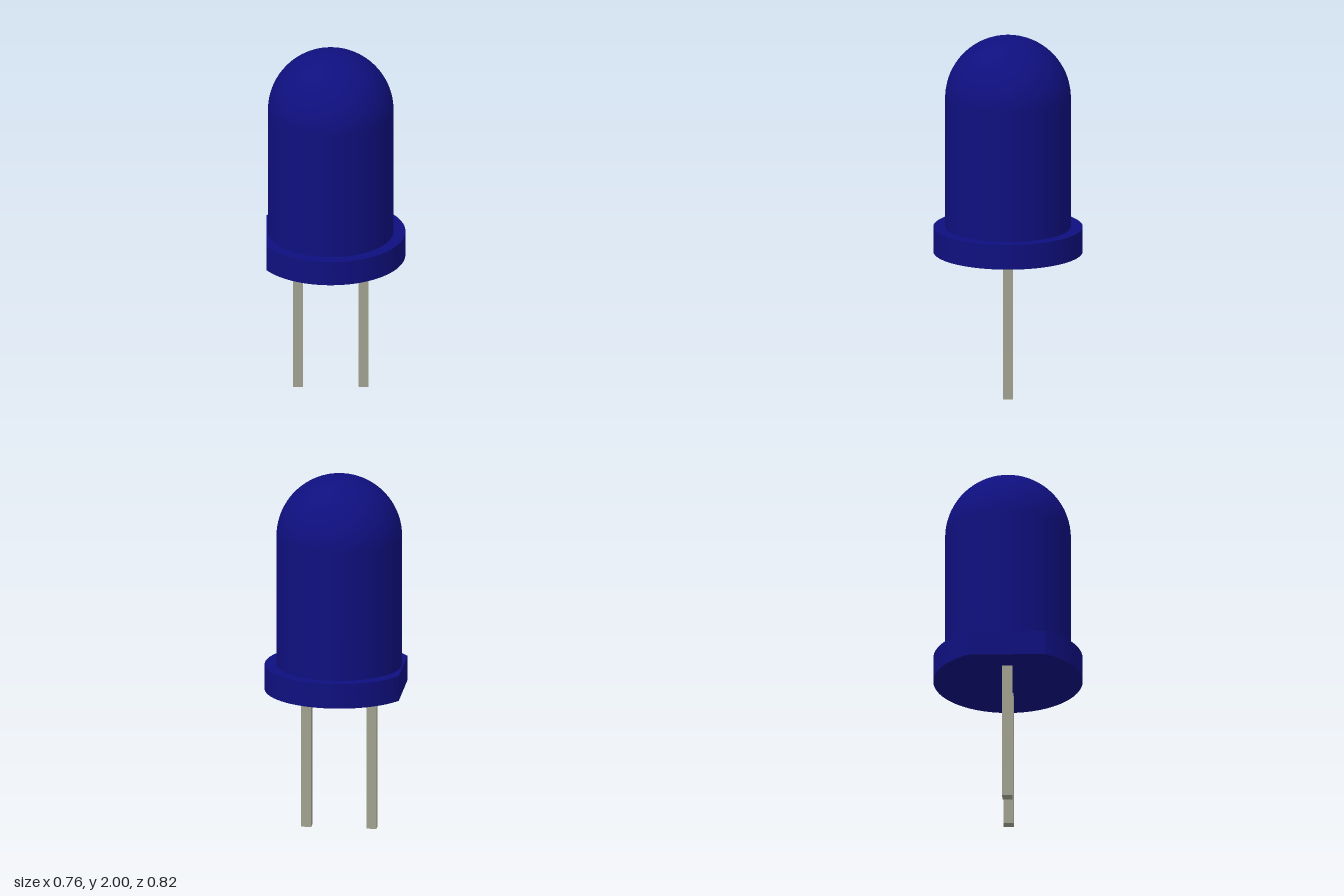
import * as THREE from 'three';
import { toCreasedNormals } from 'three/addons/utils/BufferGeometryUtils.js';

const AXIS_X = -0.03;
const BODY_R = 0.345, RIM_R = 0.41, FLAT_X = -0.352;
const RIM_BOTTOM = 0.785, RIM_TOP = 0.925, TOP = 2;

function material(name, color) {
  const m = new THREE.MeshStandardMaterial({ color });
  m.name = name;
  return m;
}

export function createModel() {
  const model = new THREE.Group();
  model.name = 'lightEmittingDiode';
  const blue = material('deepBlueLens', 0x0f0f7f);
  const metal = material('greyMetal', 0xa3a392);

  function add(name, geometry, mat, x, y) {
    const mesh = new THREE.Mesh(geometry, mat);
    mesh.name = name;
    mesh.position.set(x, y, 0);
    model.add(mesh);
  }

  // Lens: straight wall running into a hemispherical dome
  const profile = [new THREE.Vector2(BODY_R, RIM_TOP)];
  const domeSteps = 20;
  for (let i = 0; i <= domeSteps; i++) {
    const a = (i / domeSteps) * Math.PI / 2;
    const r = i === domeSteps ? 0 : BODY_R * Math.cos(a);
    profile.push(new THREE.Vector2(r, TOP - BODY_R + BODY_R * Math.sin(a)));
  }
  add('lens', new THREE.LatheGeometry(profile, 64), blue, AXIS_X, 0);

  // Rim: disc with one side cut flat
  const cut = Math.acos(FLAT_X / RIM_R);
  const outline = new THREE.Shape();
  outline.absarc(0, 0, RIM_R, -cut, cut, false);
  outline.closePath();
  const rim = new THREE.ExtrudeGeometry(outline, {
    depth: RIM_TOP - RIM_BOTTOM, bevelEnabled: false, curveSegments: 42,
  });
  rim.rotateX(-Math.PI / 2);
  add('rim', toCreasedNormals(rim, Math.PI / 6), blue, AXIS_X, RIM_BOTTOM);

  // Leads: two square pins below the rim
  for (const [name, side] of [['leftLead', 1], ['rightLead', -1]]) {
    add(name, new THREE.BoxGeometry(0.056, RIM_BOTTOM, 0.056), metal,
      AXIS_X + side * 0.18, RIM_BOTTOM / 2);
  }

  return model;
}
